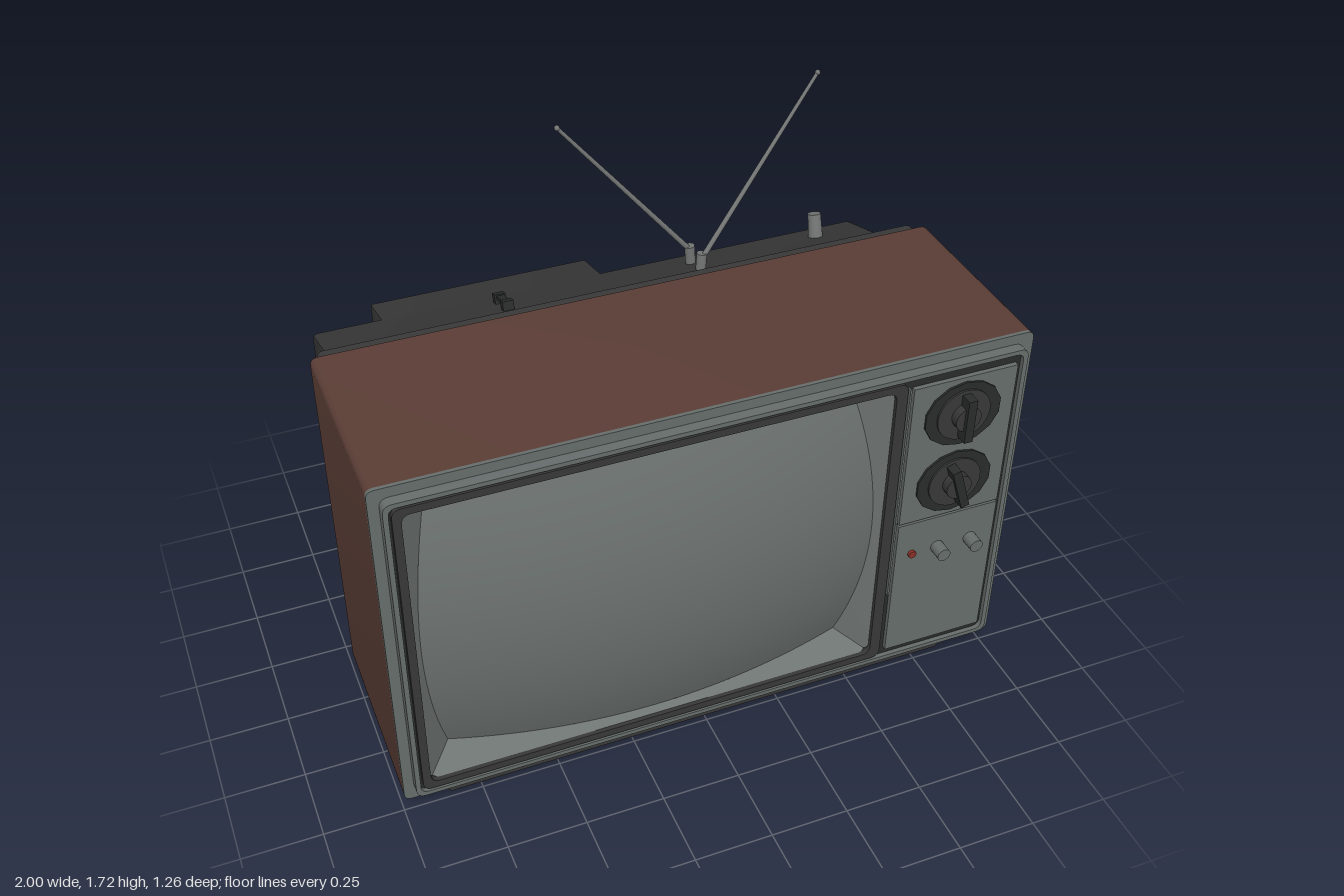
import * as THREE from 'three';
import { toCreasedNormals } from 'three/addons/utils/BufferGeometryUtils.js';

const mat = (name, color, extra = {}) => new THREE.MeshStandardMaterial({ name, color, ...extra });

export function createModel() {
  const brown = mat('brown cabinet', 0x5a3d35);
  const dark = mat('dark plastic', 0x383838);
  const black = mat('black plastic', 0x2a2c2c);
  const grey = mat('grey trim', 0x666d6b);
  const glass = mat('screen glass', 0x6a706e);
  const recess = mat('screen surround', 0x6e7472, { side: THREE.DoubleSide });
  const metal = mat('metal', 0x727574);
  const red = mat('red lamp', 0x8a3028);

  const tv = new THREE.Group();
  tv.name = 'television';

  const add = (name, geometry, material, x = 0, y = 0, z = 0, parent = tv) => {
    const m = new THREE.Mesh(geometry, material);
    m.name = name;
    m.position.set(x, y, z);
    parent.add(m);
    return m;
  };
  const box = (name, material, x0, x1, y0, y1, z0, z1, parent = tv) =>
    add(name, new THREE.BoxGeometry(x1 - x0, y1 - y0, z1 - z0), material,
      (x0 + x1) / 2, (y0 + y1) / 2, (z0 + z1) / 2, parent);

  // Rounded rectangle, usable as outline or hole
  const roundRect = (x0, x1, y0, y1, r, Type = THREE.Shape) => {
    const s = new Type();
    s.moveTo(x0 + r, y0);
    s.lineTo(x1 - r, y0); s.quadraticCurveTo(x1, y0, x1, y0 + r);
    s.lineTo(x1, y1 - r); s.quadraticCurveTo(x1, y1, x1 - r, y1);
    s.lineTo(x0 + r, y1); s.quadraticCurveTo(x0, y1, x0, y1 - r);
    s.lineTo(x0, y0 + r); s.quadraticCurveTo(x0, y0, x0 + r, y0);
    return s;
  };
  const slab = (name, material, outer, hole, z0, z1) => {
    const shape = roundRect(...outer);
    if (hole) shape.holes.push(roundRect(...hole, THREE.Path));
    const g = new THREE.ExtrudeGeometry(shape, { depth: z1 - z0, bevelEnabled: false, curveSegments: 5 });
    return add(name, toCreasedNormals(g, 0.5), material, 0, 0, z0);
  };

  // Side profile given as [z, y] points, extruded across x with a small bevel
  const sideProfile = (name, material, pts, x0, x1, b) => {
    const shape = new THREE.Shape(pts.map(([z, y]) => new THREE.Vector2(-z, y)));
    const g = new THREE.ExtrudeGeometry(shape, {
      depth: x1 - x0 - 2 * b, bevelSize: b, bevelThickness: b, bevelOffset: -b, bevelSegments: 2,
    });
    g.rotateY(Math.PI / 2);
    return add(name, toCreasedNormals(g, 0.5), material, x0 + b, 0, 0);
  };

  // Cylinder between two points
  const rod = (name, material, a, b, r0, r1 = r0, sides = 14) => {
    const p = new THREE.Vector3(...a), q = new THREE.Vector3(...b), d = q.clone().sub(p);
    const m = add(name, new THREE.CylinderGeometry(r1, r0, d.length(), sides), material);
    m.position.copy(p).add(q).multiplyScalar(0.5);
    m.quaternion.setFromUnitVectors(new THREE.Vector3(0, 1, 0), d.normalize());
    return m;
  };

  // Cabinet and front trim
  const opening = [-0.92, 0.54, 0.16, 1.2, 0.03];
  slab('cabinet', brown, [-1, 1, 0.08, 1.28, 0.025], opening, -0.11, 0.52);
  slab('frontTrim', grey, [-1, 1, 0.08, 1.28, 0.025], opening, 0.52, 0.532);
  slab('frontLip', grey, [-0.968, 0.968, 0.113, 1.247, 0.03], [-0.953, 0.953, 0.128, 1.232, 0.025], 0.532, 0.565);
  slab('frontPanel', black, [-0.953, 0.953, 0.128, 1.232, 0.02], opening, 0.532, 0.55);
  slab('screenBezel', dark, [-0.945, 0.575, 0.135, 1.225, 0.03], opening, 0.55, 0.564);
  box('dividerStrip', grey, 0.58, 0.586, 0.4, 1.2, 0.55, 0.567);

  // Bulging screen: a grid warped to a barrel outline
  const cx = -0.19, cy = 0.68;
  const warp = (u, v) => {
    const a = u * (1 - 0.09 * v * v), b = v * (1 - 0.07 * u * u);
    return [cx + 0.71 * a, cy + 0.505 * b, 0.63 - 0.1 * (a * a + b * b)];
  };
  const screen = new THREE.PlaneGeometry(2, 2, 28, 28);
  const sp = screen.attributes.position;
  for (let i = 0; i < sp.count; i++) sp.setXYZ(i, ...warp(sp.getX(i), sp.getY(i)));
  screen.computeVertexNormals();
  add('screen', screen, glass);

  // Sloping surround between the bezel opening and the glass edge
  const n = 20, ring = new THREE.PlaneGeometry(1, 1, 4 * n, 1), rp = ring.attributes.position;
  const corners = [[-1, -1], [1, -1], [1, 1], [-1, 1]];
  for (let i = 0; i <= 4 * n; i++) {
    const k = Math.floor(i / n) % 4, t = (i % n) / n;
    const [u, v] = [0, 1].map((j) => THREE.MathUtils.lerp(corners[k][j], corners[(k + 1) % 4][j], t));
    rp.setXYZ(i, ...warp(u, v));
    rp.setXYZ(i + 4 * n + 1, cx + 0.732 * u, cy + 0.522 * v, 0.553);
  }
  const surround = ring.toNonIndexed();
  surround.computeVertexNormals();
  add('screenSurround', toCreasedNormals(surround, 0.5), recess);

  // Control panel
  box('tuningPanel', grey, 0.595, 0.937, 0.685, 1.197, 0.545, 0.565);
  box('lowerPanel', grey, 0.595, 0.937, 0.157, 0.677, 0.545, 0.565);
  for (const [y, turn] of [[1.07, 0], [0.815, 0.3]]) {
    const dial = new THREE.Group();
    dial.name = 'tuningDial';
    dial.position.set(0.765, y, 0.56);
    tv.add(dial);
    const disc = (name, r, z0, z1, sides, m) => {
      const g = new THREE.CylinderGeometry(r, r, z1 - z0, sides).rotateX(Math.PI / 2);
      return add(name, g, m, 0, 0, (z0 + z1) / 2, dial);
    };
    disc('dialRing', 0.127, 0, 0.012, 14, black).scale.y = 0.89;
    disc('dialFace', 0.088, 0.012, 0.018, 28, dark);
    disc('dialStem', 0.042, 0.018, 0.045, 20, dark);
    box('dialGrip', black, -0.014, 0.014, -0.075, 0.075, 0.018, 0.058, dial).rotation.z = turn;
  }
  rod('powerLamp', red, [0.65, 0.555, 0.56], [0.65, 0.555, 0.575], 0.013);
  for (const x of [0.74, 0.855])
    rod('pushButton', grey, [x, 0.555, 0.56], [x, 0.555, 0.612], 0.022, 0.022, 20);

  // Base with sloping ends and small front knobs
  const foot = new THREE.Shape([[-0.845, 0], [0.845, 0], [0.905, 0.08], [-0.905, 0.08]]
    .map((p) => new THREE.Vector2(...p)));
  add('base', new THREE.ExtrudeGeometry(foot, { depth: 0.535, bevelEnabled: false }), dark, 0, 0, -0.055);
  for (const x of [0.57, 0.695, 0.805])
    rod('baseKnob', dark, [x, 0.05, 0.47], [x, 0.05, 0.492], 0.02);

  // Back housing
  slab('backPlate', dark, [-0.97, 0.97, 0.097, 1.263, 0.02], null, -0.16, -0.1);
  sideProfile('backHousing', dark, [[-0.13, 0.15], [-0.48, 0.15], [-0.48, 1.11], [-0.13, 1.22]], -0.93, 0.93, 0.015);
  sideProfile('tubeCover', dark, [[-0.45, 0.355], [-0.63, 0.355], [-0.63, 1.075], [-0.45, 1.118]], -0.71, 0.02, 0.004);

  // Aerials on the sloping top
  rod('aerialSocket', metal, [0.3, 1.13, -0.39], [0.295, 1.205, -0.39], 0.017);
  rod('aerialSocket', metal, [0.3, 1.15, -0.31], [0.305, 1.22, -0.312], 0.017);
  const tips = [[[0.3, 1.185, -0.39], [-0.14, 1.71, -0.39]], [[0.3, 1.2, -0.305], [0.745, 1.71, -0.44]]];
  for (const [a, b] of tips) {
    rod('aerial', metal, a, b, 0.009, 0.006, 10);
    add('aerialTip', new THREE.SphereGeometry(0.009, 10, 8), metal, ...b);
  }
  rod('aerialTerminal', metal, [0.75, 1.12, -0.385], [0.75, 1.215, -0.41], 0.025, 0.022);
  rod('smallTerminal', metal, [0.84, 1.18, -0.185], [0.84, 1.225, -0.195], 0.012);

  // Cable clip
  const clip = new THREE.Group();
  clip.name = 'cableClip';
  clip.position.set(-0.345, 1.15, -0.36);
  clip.rotation.x = -0.303;
  tv.add(clip);
  box('clipBar', black, -0.012, 0.012, 0.012, 0.024, -0.055, 0.055, clip);
  for (const z of [-0.045, 0.045])
    box('clipFoot', black, -0.018, 0.018, -0.01, 0.028, z - 0.014, z + 0.014, clip);

  return tv;
}
